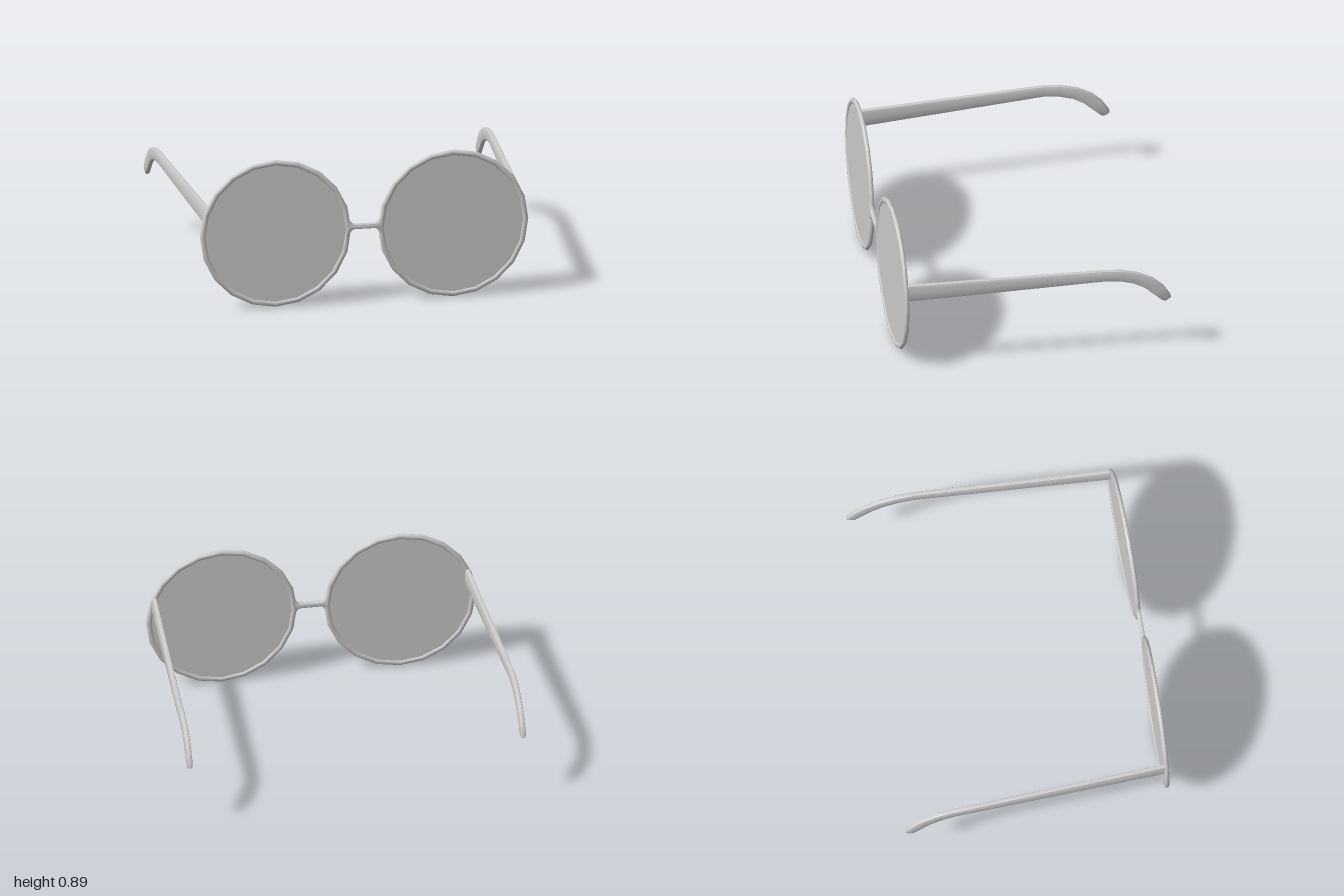
import * as THREE from 'three';
import { toCreasedNormals } from 'three/addons/utils/BufferGeometryUtils.js';

const material = new THREE.MeshStandardMaterial({ color: 0xcccccc });
const V = (x, y) => new THREE.Vector2(x, y);
const SIDES = 20;

function part(name, geometry, crease = 0.8) {
  const mesh = new THREE.Mesh(toCreasedNormals(geometry, crease), material);
  mesh.name = name;
  return mesh;
}

// Rounded ring with a thin disc of glass inside it
function eyepiece(side) {
  const group = new THREE.Group();
  group.name = side > 0 ? 'leftEyepiece' : 'rightEyepiece';
  const section = [];
  for (let i = 0; i <= 10; i++) {
    const a = (i / 10) * Math.PI * 2;
    section.push(V(0.43 + 0.017 * Math.cos(a), 0.014 * Math.sin(a)));
  }
  const rim = new THREE.LatheGeometry(section, SIDES).rotateX(Math.PI / 2);
  const lens = new THREE.CylinderGeometry(0.425, 0.425, 0.012, SIDES).rotateX(Math.PI / 2);
  group.add(part('rim', rim), part('lens', lens));
  group.position.set(side * 0.527, 0.447, 0.769);
  group.rotation.y = side * 0.015;
  return group;
}

// Narrow bar whose ends flare out along the rims
function bridge() {
  const shape = new THREE.Shape();
  shape.moveTo(-0.106, 0.54);
  shape.quadraticCurveTo(-0.09, 0.474, -0.06, 0.474);
  shape.lineTo(0.06, 0.474);
  shape.quadraticCurveTo(0.09, 0.474, 0.106, 0.54);
  shape.lineTo(0.1, 0.46);
  shape.lineTo(0.11, 0.39);
  shape.quadraticCurveTo(0.085, 0.452, 0.06, 0.452);
  shape.lineTo(-0.06, 0.452);
  shape.quadraticCurveTo(-0.085, 0.452, -0.11, 0.39);
  shape.lineTo(-0.1, 0.46);
  shape.closePath();
  const geometry = new THREE.ExtrudeGeometry(shape, {
    depth: 0.014, curveSegments: 4, bevelSize: 0.004, bevelThickness: 0.005, bevelSegments: 2,
  });
  return part('bridge', geometry.translate(0, 0, 0.77));
}

// Tapering arm, skinned over sections given as [top z, top y, bottom z, bottom y]
const SECTIONS = [
  [0.755, 0.62, 0.755, 0.507],
  [-0.4, 0.621, -0.4, 0.55],
  [-0.506, 0.61, -0.485, 0.541],
  [-0.604, 0.582, -0.57, 0.515],
  [-0.69, 0.535, -0.635, 0.477],
  [-0.75, 0.477, -0.683, 0.43],
  [-0.79, 0.412, -0.736, 0.382],
  [-0.792, 0.394, -0.755, 0.372],
];

function temple(side) {
  const n = 12, positions = [], index = [];
  const soft = (v) => Math.sign(v) * Math.sqrt(Math.abs(v));
  SECTIONS.forEach(([tz, ty, bz, by], k) => {
    const z = (tz + bz) / 2, y = (ty + by) / 2;
    const x = side * (z > -0.36 ? 0.984 - 0.059 * (z + 0.36) / 1.115 : 0.984);
    const half = k === SECTIONS.length - 1 ? 0.01 : 0.016;
    for (let i = 0; i < n; i++) {
      const a = (i / n) * Math.PI * 2, s = soft(Math.sin(a));
      positions.push(x + half * soft(Math.cos(a)), y + s * (ty - by) / 2, z + s * (tz - bz) / 2);
    }
  });
  const last = (SECTIONS.length - 1) * n;
  for (let i = 0; i < n; i++) {
    const j = (i + 1) % n;
    for (let r = 0; r < last; r += n) {
      index.push(r + i, r + n + i, r + j, r + j, r + n + i, r + n + j);
    }
    // End caps as fans
    if (i > 0 && j > 0) index.push(0, i, j, last, last + j, last + i);
  }
  const geometry = new THREE.BufferGeometry();
  geometry.setAttribute('position', new THREE.Float32BufferAttribute(positions, 3));
  geometry.setIndex(index);
  return part(side > 0 ? 'leftTemple' : 'rightTemple', geometry);
}

export function createModel() {
  const model = new THREE.Group();
  model.name = 'glasses';
  for (const side of [-1, 1]) model.add(eyepiece(side), temple(side));
  model.add(bridge());
  return model;
}
